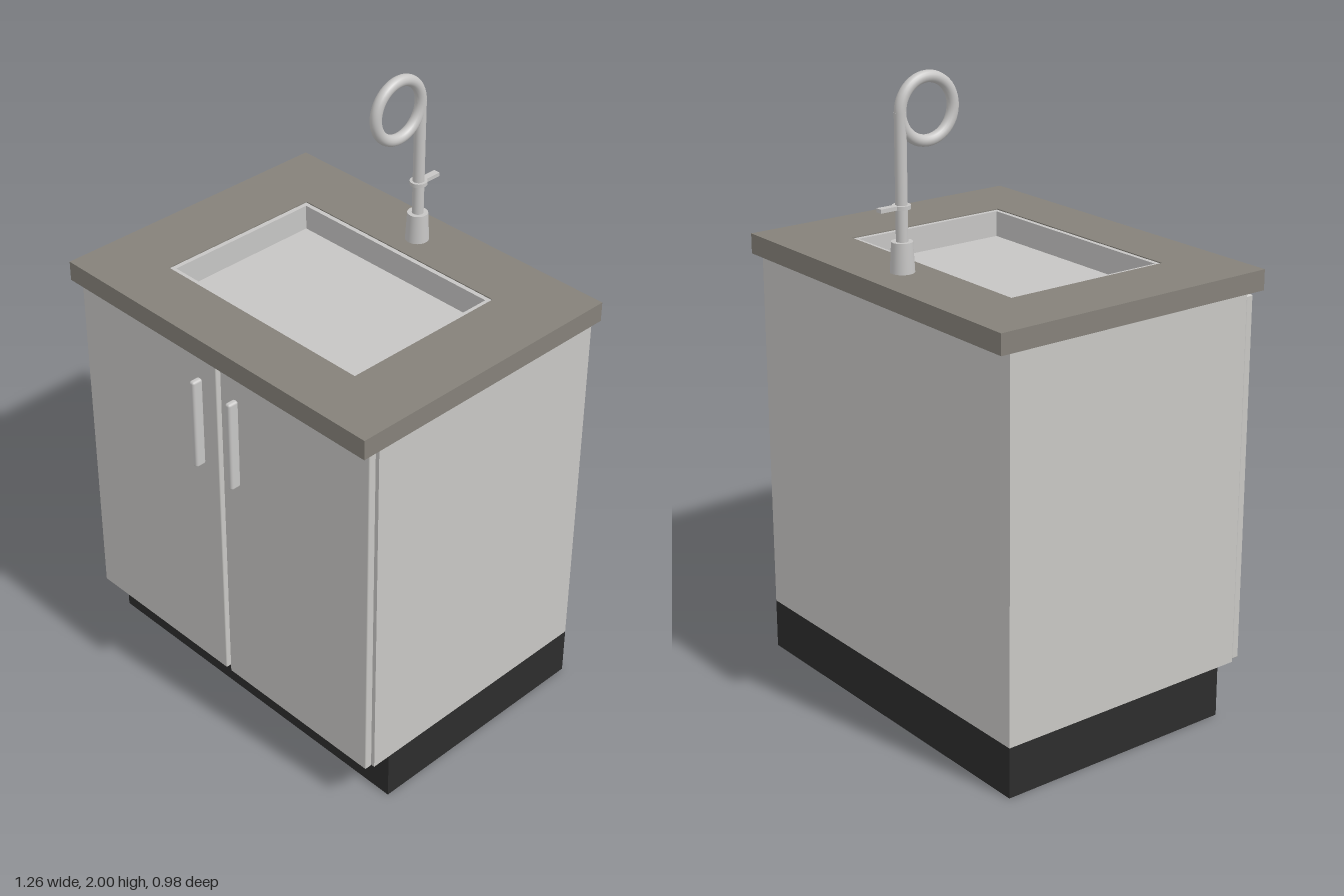
import * as THREE from 'three';
import { RoundedBoxGeometry } from 'three/addons/geometries/RoundedBoxGeometry.js';

const mat = (name, color) => new THREE.MeshStandardMaterial({ name, color });

export function createModel() {
  const panel = mat('palePanel', 0xc8c7c4);
  const stone = mat('stoneCounter', 0x85817a);
  const plinth = mat('darkPlinth', 0x2c2c2c);
  const steel = mat('steel', 0xc6c5c4);

  const model = new THREE.Group();
  model.name = 'sinkCabinet';

  const add = (name, geometry, material, x = 0, y = 0, z = 0) => {
    const mesh = new THREE.Mesh(geometry, material);
    mesh.name = name;
    mesh.position.set(x, y, z);
    model.add(mesh);
    return mesh;
  };

  // Box given by its limits on each axis
  const box = (name, material, [x0, x1], [y0, y1], [z0, z1], radius = 0) => {
    const size = [x1 - x0, y1 - y0, z1 - z0];
    const geometry = radius
      ? new RoundedBoxGeometry(...size, 2, radius)
      : new THREE.BoxGeometry(...size);
    return add(name, geometry, material, (x0 + x1) / 2, (y0 + y1) / 2, (z0 + z1) / 2);
  };

  // Horizontal rectangular frame; each rectangle is [half width, back z, front z]
  const rect = (path, [w, back, front]) => path
    .moveTo(-w, -front).lineTo(w, -front).lineTo(w, -back).lineTo(-w, -back).closePath();
  const frame = (name, material, outer, inner, y0, y1) => {
    const shape = new THREE.Shape();
    rect(shape, outer);
    const hole = new THREE.Path();
    rect(hole, inner);
    shape.holes.push(hole);
    const geometry = new THREE.ExtrudeGeometry(shape, { depth: y1 - y0, bevelEnabled: false });
    geometry.rotateX(-Math.PI / 2);
    return add(name, geometry, material, 0, y0, 0);
  };

  // Plinth and cabinet
  const basinFloor = 1.335;
  const opening = [0.395, -0.272, 0.292];
  const basin = [0.38, -0.257, 0.277];
  box('plinth', plinth, [-0.622, 0.622], [0, 0.163], [-0.455, 0.36]);
  box('cabinetBody', panel, [-0.622, 0.622], [0.163, basinFloor - 0.01], [-0.455, 0.422]);
  frame('cabinetTopRail', panel, [0.622, -0.455, 0.422], opening, basinFloor - 0.01, 1.356);

  // Counter with inset basin
  frame('countertop', stone, [0.628, -0.49, 0.485], opening, 1.356, 1.42);
  frame('basinWalls', steel, opening, basin, basinFloor - 0.01, 1.417);
  box('basinFloor', steel, [-0.38, 0.38], [basinFloor - 0.01, basinFloor], [-0.257, 0.277]);

  // Doors and handles
  for (const [side, s] of [['left', 1], ['right', -1]]) {
    const span = (a, b) => (s > 0 ? [a, b] : [-b, -a]);
    box(side + 'Door', panel, span(0.009, 0.616), [0.168, 1.346], [0.427, 0.453], 0.004);
    box(side + 'Handle', steel, span(0.067, 0.088), [0.95, 1.258], [0.453, 0.49], 0.008);
  }

  // Tap: collar, stem, looped spout and lever
  const tapZ = -0.363;
  const loopRadius = 0.093;
  const tube = 0.018;
  add('tapBase', new THREE.CylinderGeometry(0.032, 0.037, 0.092, 32), steel, 0, 1.466, tapZ);
  add('tapStem', new THREE.CylinderGeometry(tube, tube, 0.39, 24), steel, 0, 1.695, tapZ);
  const loop = add('tapLoop', new THREE.TorusGeometry(loopRadius, tube, 16, 48), steel,
    0, 1.889, tapZ + loopRadius);
  loop.rotation.y = Math.PI / 2;
  add('leverCollar', new THREE.CylinderGeometry(0.027, 0.027, 0.012, 24), steel, 0, 1.615, tapZ);
  box('tapLever', steel, [-0.011, 0.011], [1.609, 1.621], [-0.443, tapZ]);

  return model;
}
